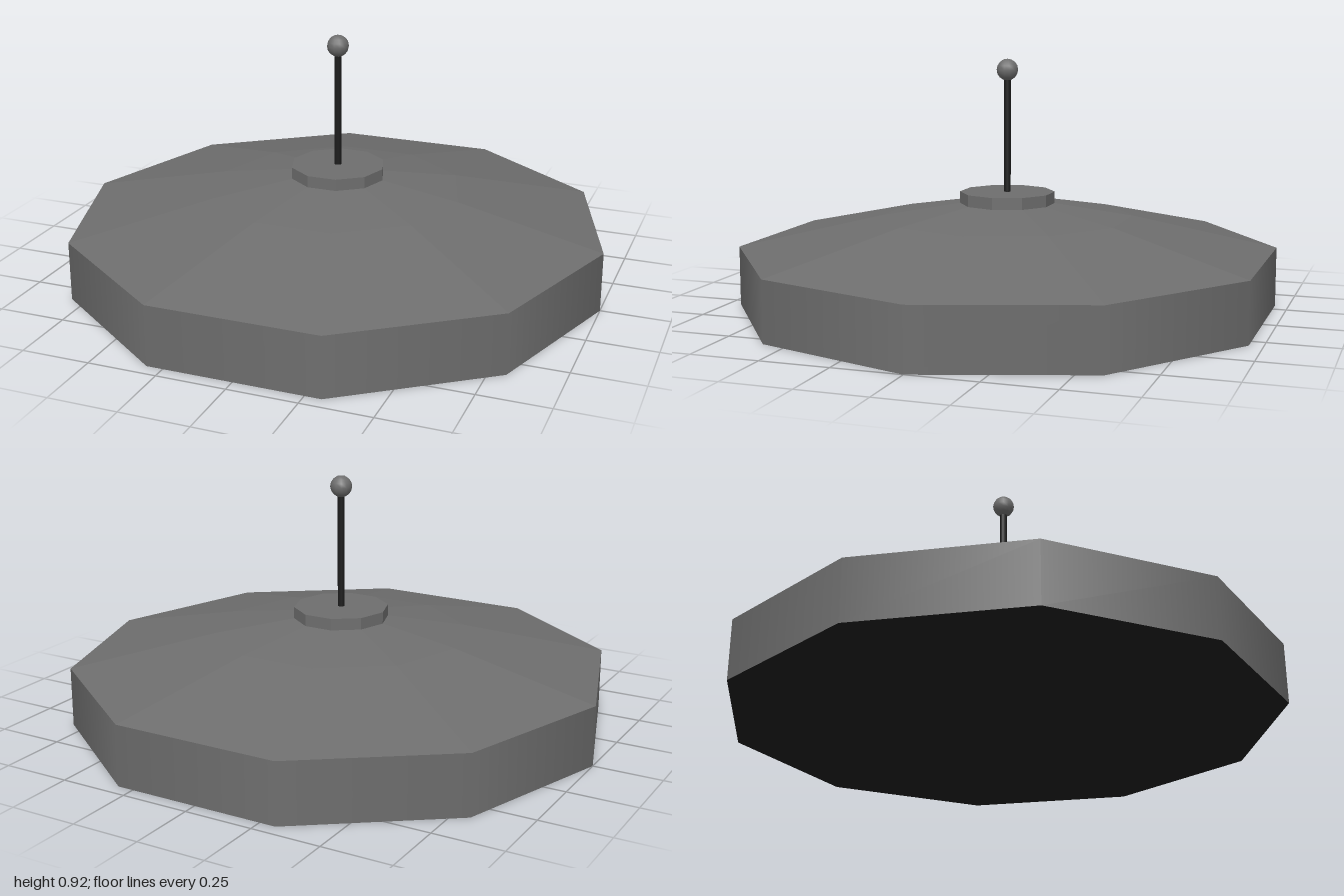
import * as THREE from 'three';

export function createModel() {
  const group = new THREE.Group();
  const grey = new THREE.MeshStandardMaterial({ color: 0x6e6e6e });
  grey.name = 'grey metal';
  const dark = new THREE.MeshStandardMaterial({ color: 0x1c1c1c });
  dark.name = 'dark metal';

  const SIDES = 10;
  const START = Math.PI / 2; // puts a corner on the x axis

  function add(name, geometry, material, y) {
    const mesh = new THREE.Mesh(geometry, material);
    mesh.name = name;
    mesh.position.y = y;
    group.add(mesh);
    return mesh;
  }

  // Ring between two radii; faceted ones get one normal per face
  function ring(name, rTop, rBottom, y0, y1, faceted, open = true) {
    let geo = new THREE.CylinderGeometry(rTop, rBottom, y1 - y0, SIDES, 1, open, START);
    if (faceted) {
      geo = geo.toNonIndexed();
      geo.computeVertexNormals();
    }
    return add(name, geo, grey, (y0 + y1) / 2);
  }

  // Shade: smooth rim, two faceted slopes and a raised cap
  ring('rim', 1, 1, 0, 0.22, false);
  ring('lowerSlope', 0.465, 1, 0.22, 0.34, true);
  ring('upperSlope', 0.175, 0.465, 0.34, 0.387, true);
  ring('cap', 0.175, 0.175, 0.387, 0.43, true, false);

  // Dark underside
  const base = new THREE.CircleGeometry(1, SIDES);
  base.rotateX(Math.PI / 2);
  add('underside', base, dark, 0);

  // Rod with a ball on its end
  add('rod', new THREE.CylinderGeometry(0.013, 0.013, 0.44, 10), dark, 0.64);
  add('ball', new THREE.SphereGeometry(0.04, 12, 8), grey, 0.88);

  return group;
}
